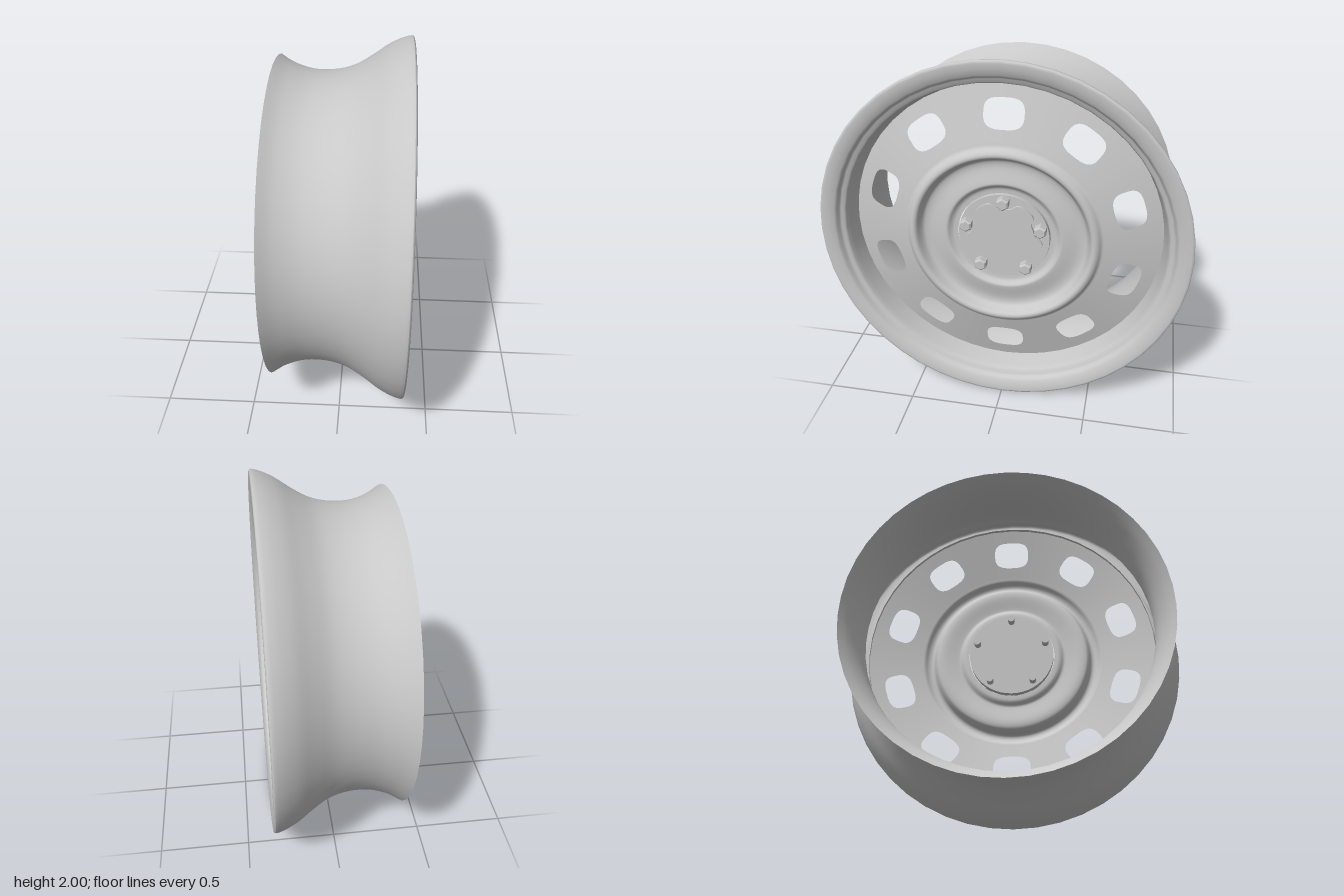
import * as THREE from 'three';
import { mergeVertices, mergeGeometries, toCreasedNormals } from 'three/addons/utils/BufferGeometryUtils.js';

const steel = new THREE.MeshStandardMaterial({ color: 0xc8c8c8, side: THREE.DoubleSide });
steel.name = 'steel grey';

const R_IN = 0.55, R_OUT = 0.846;              // window band radii
const bandDepth = (r) => 0.27 - (r - R_IN) * 0.29;

function add(parent, name, geometry) {
  const mesh = new THREE.Mesh(geometry, steel);
  mesh.name = name;
  parent.add(mesh);
  return mesh;
}

// Turned part: points are [radius, depth], axis along +z
function turned(points, segments, smooth) {
  let pts = points.map(([r, d]) => new THREE.Vector2(r, d));
  if (smooth) pts = new THREE.SplineCurve(pts).getPoints(smooth);
  return new THREE.LatheGeometry(pts, segments).rotateX(Math.PI / 2);
}

// One 36 degree sector of the disc, woven from a rounded window out to the sector border
function windowSector(centreAngle) {
  const side = 12, rings = 5, count = side * 4;
  const half = Math.PI / 10, rMid = 0.692;
  const pos = [], index = [];
  for (let k = 0; k <= rings; k++) {
    for (let i = 0; i < count; i++) {
      const t = ((i % side) / side) * 2 - 1;
      const [u, v] = [[t, -1], [1, t], [-t, 1], [-1, -t]][Math.floor(i / side)];
      // rounded window outline, in local tangent / radial distances
      const n = Math.pow(Math.pow(Math.abs(u), 3.1) + Math.pow(Math.abs(v), 3.1), -1 / 3.1);
      const hx = u * n * 0.105, hy = rMid + v * n * 0.078;
      const a0 = Math.atan2(hx, hy), r0 = Math.hypot(hx, hy);
      const a1 = u * half, r1 = v < 0 ? rMid + v * (rMid - R_IN) : rMid + v * (R_OUT - rMid);
      const f = k / rings;
      const a = centreAngle - (a0 + (a1 - a0) * f), r = r0 + (r1 - r0) * f;
      pos.push(r * Math.cos(a), r * Math.sin(a), bandDepth(r));
      if (k < rings) {
        const j = (i + 1) % count, p = k * count;
        index.push(p + i, p + count + i, p + j, p + j, p + count + i, p + count + j);
      }
    }
  }
  const g = new THREE.BufferGeometry();
  g.setAttribute('position', new THREE.Float32BufferAttribute(pos, 3));
  g.setIndex(index);
  return g;
}

export function createModel() {
  const model = new THREE.Group();
  model.name = 'steelWheel';
  const wheel = new THREE.Group();
  wheel.name = 'wheel';
  wheel.rotation.y = Math.PI / 2;
  wheel.position.y = 1;
  model.add(wheel);

  // Waisted barrel
  add(wheel, 'barrel', turned([
    [0.89, -0.36], [0.85, -0.295], [0.82, -0.21], [0.81, -0.13], [0.817, -0.04], [0.843, 0.05],
    [0.895, 0.14], [0.95, 0.22], [0.983, 0.285], [0.998, 0.33], [1.0, 0.348],
  ], 48, 36));

  // Rolled lip and stepped inner wall
  add(wheel, 'lip', turned([
    [1.0, 0.348], [0.996, 0.355], [0.985, 0.358], [0.955, 0.354], [0.925, 0.345], [0.913, 0.335],
    [0.908, 0.318], [0.898, 0.31], [0.882, 0.307], [0.873, 0.297], [0.866, 0.27], [0.846, 0.185], [0.843, 0.16],
  ], 48));

  // Disc band with ten windows
  const sectors = [];
  for (let i = 0; i < 10; i++) sectors.push(windowSector(Math.PI / 2 + i * Math.PI / 5));
  const band = mergeVertices(mergeGeometries(sectors), 1e-4);
  band.computeVertexNormals();
  add(wheel, 'windowDisc', band);

  // Raised ring and dished centre, its rim matching the band's inner edge
  add(wheel, 'dishedCentre', turned([
    [R_IN, 0.27], [0.53, 0.277], [0.512, 0.297], [0.493, 0.305], [0.475, 0.297], [0.458, 0.265], [0.44, 0.248],
    [0.4, 0.245], [0.33, 0.26], [0.31, 0.26], [0.295, 0.248], [0.28, 0.24], [0.254, 0.238],
  ], 120, 48));

  // Hub plate
  const plate = new THREE.CylinderGeometry(0.249, 0.249, 0.04, 48).rotateX(Math.PI / 2);
  add(wheel, 'hubPlate', plate).position.z = 0.23;

  // Five-lobed cap, notched around the bolts
  const outline = [];
  for (let i = 0; i < 100; i++) {
    const a = (i / 100) * Math.PI * 2;
    const wave = Math.tanh(2.5 * (Math.cos(5 * (a - Math.PI / 2)) - 0.1));
    const r = 0.192 - 0.022 * wave;
    outline.push(new THREE.Vector2(r * Math.cos(a), r * Math.sin(a)));
  }
  const cap = new THREE.ExtrudeGeometry(new THREE.Shape(outline), { depth: 0.02, bevelEnabled: false });
  add(wheel, 'centreCap', toCreasedNormals(cap, 0.6)).position.z = 0.245;

  // Five hexagonal bolts with studs behind
  for (let i = 0; i < 5; i++) {
    const a = Math.PI / 2 + (i * Math.PI * 2) / 5;
    const bolt = new THREE.Group();
    bolt.name = 'bolt';
    bolt.position.set(0.212 * Math.cos(a), 0.212 * Math.sin(a), 0.25);
    const head = new THREE.CylinderGeometry(0.036, 0.036, 0.04, 6).toNonIndexed().rotateX(Math.PI / 2);
    const crown = new THREE.CylinderGeometry(0.028, 0.036, 0.008, 6).toNonIndexed().rotateX(Math.PI / 2);
    head.computeVertexNormals();
    crown.computeVertexNormals();
    add(bolt, 'boltHead', head).position.z = 0.02;
    add(bolt, 'boltCrown', crown).position.z = 0.044;
    add(bolt, 'boltStud', new THREE.CylinderGeometry(0.02, 0.02, 0.09, 12).rotateX(Math.PI / 2)).position.z = -0.045;
    wheel.add(bolt);
  }
  return model;
}
